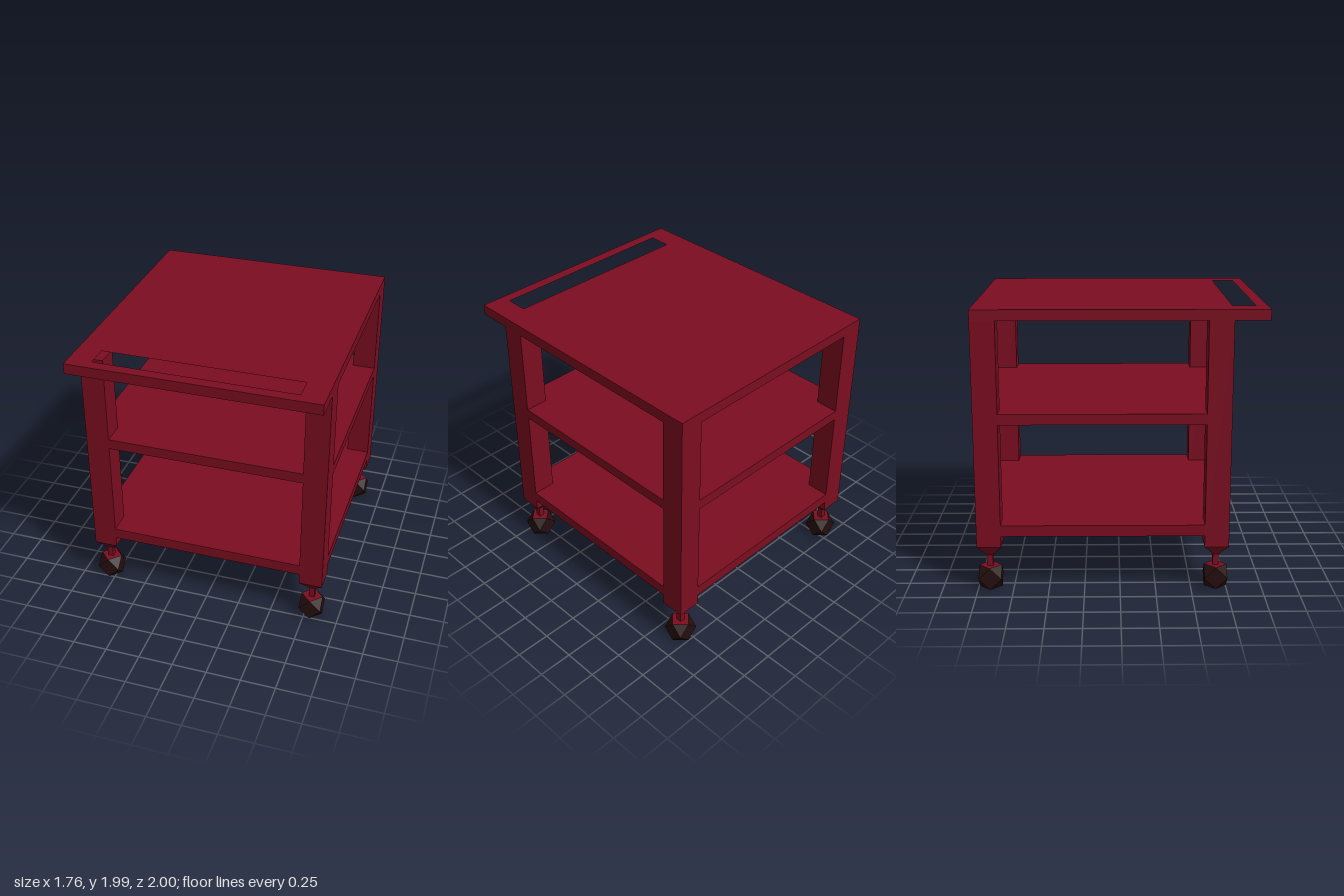
import * as THREE from 'three';

const red = new THREE.MeshStandardMaterial({ color: 0x7b0d20 });
red.name = 'burgundy';
const rubber = new THREE.MeshStandardMaterial({ color: 0x260e0e });
rubber.name = 'darkRubber';

const HALF_X = 0.88, LEG = 0.17, BACK = -1, LEG_FRONT = 0.76, FRONT = 1;
const INNER_X = HALF_X - LEG;

// Flat horizontal plate from [x, z] points, with optional hole
function plate(name, points, y0, y1, hole) {
  const toV = ([x, z]) => new THREE.Vector2(x, -z);
  const shape = new THREE.Shape(points.map(toV));
  if (hole) shape.holes.push(new THREE.Path(hole.map(toV)));
  const geo = new THREE.ExtrudeGeometry(shape, { depth: y1 - y0, bevelEnabled: false });
  geo.rotateX(-Math.PI / 2).translate(0, y0, 0);
  const mesh = new THREE.Mesh(geo, red);
  mesh.name = name;
  return mesh;
}

const rect = (x, z0, z1) => [[-x, z0], [x, z0], [x, z1], [-x, z1]];

// Shelf outline, notched at its corners to fit around the legs
function shelf(name, y0, y1) {
  const b = BACK + LEG, f = LEG_FRONT - LEG, X = HALF_X, I = INNER_X;
  return plate(name, [
    [-I, BACK], [I, BACK], [I, b], [X, b], [X, f], [I, f],
    [I, LEG_FRONT], [-I, LEG_FRONT], [-I, f], [-X, f], [-X, b], [-I, b],
  ], y0, y1);
}

// Cuboctahedron wheel: 8 triangles, 6 squares; top and bottom squares are group 1
function wheelGeometry(r) {
  const sides = [], caps = [];
  const tri = (out, a, b, c) => {
    const n = new THREE.Vector3().subVectors(b, a).cross(new THREE.Vector3().subVectors(c, a));
    const order = n.dot(a) > 0 ? [a, b, c] : [a, c, b];
    order.forEach((p) => out.push(p.x * r, p.y * r, p.z * r));
  };
  const V = (x, y, z) => new THREE.Vector3(x, y, z);
  for (const x of [-1, 1]) for (const y of [-1, 1]) for (const z of [-1, 1]) {
    tri(sides, V(x, y, 0), V(0, y, z), V(x, 0, z));
  }
  for (let axis = 0; axis < 3; axis++) for (const s of [-1, 1]) {
    const q = [[1, 0], [0, 1], [-1, 0], [0, -1]].map(([u, w]) => {
      const p = V(0, 0, 0);
      p.setComponent(axis, s);
      p.setComponent((axis + 1) % 3, u);
      p.setComponent((axis + 2) % 3, w);
      return p;
    });
    const out = axis === 1 ? caps : sides;
    tri(out, q[0], q[1], q[2]);
    tri(out, q[0], q[2], q[3]);
  }
  const geo = new THREE.BufferGeometry();
  geo.setAttribute('position', new THREE.Float32BufferAttribute([...sides, ...caps], 3));
  geo.addGroup(0, sides.length / 3, 0);
  geo.addGroup(sides.length / 3, caps.length / 3, 1);
  geo.computeVertexNormals();
  return geo;
}

export function createModel() {
  const model = new THREE.Group();
  model.name = 'trolley';

  // Top with handle slot at the front, and two shelves
  model.add(plate('tableTop', rect(HALF_X, BACK, FRONT), 1.91, 1.985, rect(INNER_X, 0.76, 0.92)));
  model.add(shelf('middleShelf', 1.2, 1.275));
  model.add(shelf('bottomShelf', 0.4, 0.48));

  // Legs with tapered feet, stems and faceted wheels
  const legGeo = new THREE.BoxGeometry(LEG, 1.59, LEG).translate(0, 1.115, 0);
  const footGeo = new THREE.CylinderGeometry(LEG / Math.SQRT2, 0.04 / Math.SQRT2, 0.08, 4, 1, true)
    .rotateY(Math.PI / 4).toNonIndexed().translate(0, 0.28, 0);
  footGeo.computeVertexNormals();
  const stemGeo = new THREE.BoxGeometry(0.04, 0.09, 0.04).translate(0, 0.2, 0);
  const wheelGeo = wheelGeometry(0.08).translate(0, 0.08, 0);
  const parts = [
    ['leg', legGeo, red], ['foot', footGeo, red],
    ['stem', stemGeo, red], ['wheel', wheelGeo, [rubber, red]],
  ];

  for (const [side, x] of [['Left', 1], ['Right', -1]]) {
    for (const [end, z] of [['front', LEG_FRONT - LEG / 2], ['back', BACK + LEG / 2]]) {
      const corner = new THREE.Group();
      corner.name = `${end}${side}Leg`;
      for (const [name, geo, mat] of parts) {
        const mesh = new THREE.Mesh(geo, mat);
        mesh.name = name;
        corner.add(mesh);
      }
      corner.position.set(x * (HALF_X - LEG / 2), 0, z);
      model.add(corner);
    }
  }
  return model;
}
